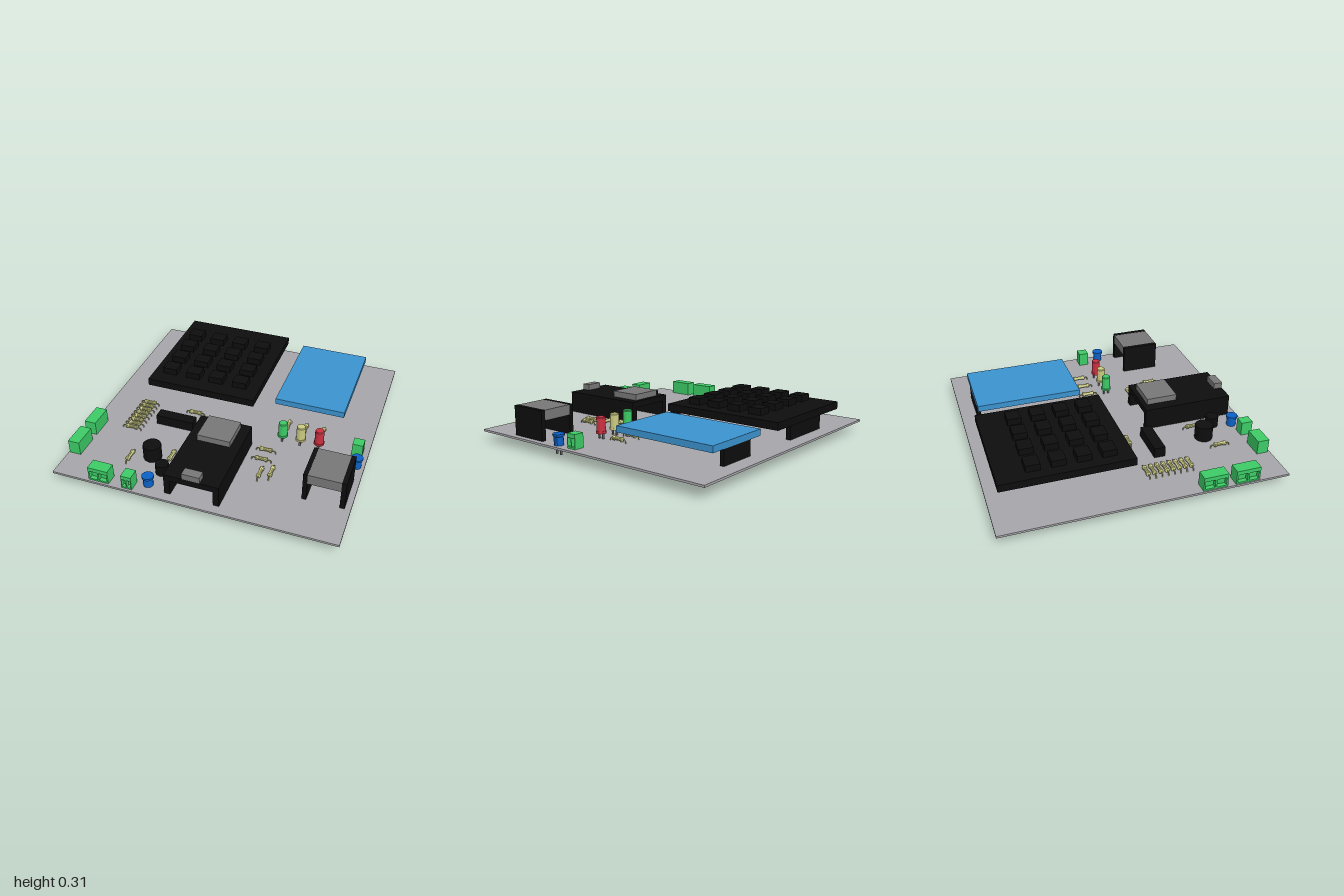
import * as THREE from 'three';

const mat = (name, color) => {
  const m = new THREE.MeshStandardMaterial({ color, flatShading: true });
  m.name = name;
  return m;
};

export function createModel() {
  const M = {
    board: mat('board grey', 0xa6a5aa),
    black: mat('black plastic', 0x0d0d0d),
    metal: mat('metal grey', 0x777777),
    screen: mat('screen blue', 0x3a92ce),
    green: mat('green plastic', 0x3ccb66),
    blue: mat('capacitor blue', 0x0b62c6),
    red: mat('red lens', 0xcc3040),
    sand: mat('pale yellow', 0xcbcb82),
  };
  const model = new THREE.Group();
  model.name = 'circuitBoard';
  const TOP = 0.09;

  const group = (name, x = 0, z = 0, turn = 0) => {
    const g = new THREE.Group();
    g.name = name;
    g.position.set(x, 0, z);
    g.rotation.y = turn;
    model.add(g);
    return g;
  };
  const add = (parent, name, geo, m) => {
    const mesh = new THREE.Mesh(geo, m);
    mesh.name = name;
    parent.add(mesh);
    return mesh;
  };
  // box given by its limits on each axis
  const box = (parent, name, m, x0, x1, y0, y1, z0, z1) => {
    const mesh = add(parent, name, new THREE.BoxGeometry(x1 - x0, y1 - y0, z1 - z0), m);
    mesh.position.set((x0 + x1) / 2, (y0 + y1) / 2, (z0 + z1) / 2);
    return mesh;
  };
  const lathe = (parent, name, m, points, sides = 12) =>
    add(parent, name, new THREE.LatheGeometry(points.map(p => new THREE.Vector2(...p)), sides), m);

  box(model, 'board', M.board, -1, 1, 0.075, TOP, -1, 1);

  // Keypad with four by four keys, raised on a rear header
  const keypad = group('keypad');
  box(keypad, 'keypadPlate', M.black, -0.74, 0.105, 0.21, 0.265, -0.93, 0);
  box(keypad, 'keypadHeader', M.black, -0.55, -0.13, TOP, 0.21, -0.89, -0.855);
  for (const x of [-0.61, -0.42, -0.235, -0.047])
    for (const z of [-0.165, -0.337, -0.51, -0.682])
      box(keypad, 'key', M.black, x - 0.055, x + 0.055, 0.265, 0.313, z - 0.05, z + 0.05);

  // Display
  const display = group('display');
  box(display, 'displayPanel', M.screen, 0.245, 0.765, 0.2, 0.245, -0.885, -0.105);
  box(display, 'displayHeader', M.black, 0.36, 0.65, TOP, 0.2, -0.885, -0.855);

  // Controller module on two side headers
  const controller = group('controller');
  box(controller, 'controllerPlate', M.black, -0.195, 0.19, 0.205, 0.25, 0.27, 0.935);
  box(controller, 'controllerHeader', M.black, -0.195, -0.153, TOP, 0.205, 0.27, 0.935);
  box(controller, 'controllerHeader', M.black, 0.148, 0.19, TOP, 0.205, 0.27, 0.935);
  box(controller, 'shieldCan', M.metal, -0.12, 0.12, 0.25, 0.295, 0.305, 0.535);
  box(controller, 'socket', M.metal, -0.065, 0.06, 0.25, 0.295, 0.87, 0.934);

  // Small module bridging two headers
  const bridge = group('bridgeModule');
  box(bridge, 'bridgeHeader', M.black, 0.672, 0.702, TOP, 0.305, 0.405, 0.685);
  box(bridge, 'bridgeHeader', M.black, 0.925, 0.958, TOP, 0.305, 0.405, 0.685);
  box(bridge, 'bridgeTop', M.metal, 0.702, 0.925, 0.23, 0.304, 0.405, 0.685);

  box(model, 'chip', M.black, -0.55, -0.265, TOP, 0.165, 0.2, 0.28);

  // Screw terminals with two wire openings on the local +z side
  const terminal = (x, z, width, depth, turn) => {
    const g = group('terminal', x, z, turn);
    const y1 = 0.193, recess = 0.03, w = width / 2;
    const face = new THREE.Shape([[-w, TOP], [w, TOP], [w, y1], [-w, y1]].map(p => new THREE.Vector2(...p)));
    for (const s of [-1, 1]) {
      const c = s * w * 0.47, h = w * 0.4;
      face.holes.push(new THREE.Path([[c - h, 0.102], [c - h, 0.163], [c + h, 0.163], [c + h, 0.102]]
        .map(p => new THREE.Vector2(...p))));
    }
    const front = add(g, 'terminalFace',
      new THREE.ExtrudeGeometry(face, { depth: recess, bevelEnabled: false }), M.green);
    front.position.z = depth / 2 - recess;
    box(g, 'terminalBody', M.green, -w, w, TOP, y1, -depth / 2, depth / 2 - recess);
  };
  terminal(-0.95, 0.458, 0.175, 0.084, -Math.PI / 2);
  terminal(-0.95, 0.693, 0.175, 0.084, -Math.PI / 2);
  terminal(-0.655, 0.942, 0.147, 0.084, 0);
  terminal(-0.447, 0.942, 0.074, 0.084, 0);
  terminal(0.923, 0.117, 0.074, 0.076, Math.PI / 2);

  // Two straight pins through the board, spread along x or z
  const pins = (g, gap, y0, y1, alongZ, m = M.metal, r = 0.006) => {
    for (const s of [-gap, gap]) {
      const x = alongZ ? 0 : s, z = alongZ ? s : 0;
      box(g, 'pin', m, x - r, x + r, y0, y1, z - r, z + r);
    }
  };

  // Buzzer and small black capacitor
  const round = (name, x, z, r, top, gap, low) => {
    const g = group(name, x, z);
    lathe(g, name + 'Body', M.black, [[0, TOP], [r, TOP], [r, top], [0, top]]);
    pins(g, gap, low, TOP, false);
  };
  round('buzzer', -0.42, 0.63, 0.065, 0.2, 0.028, 0);
  round('blackCapacitor', -0.29, 0.755, 0.047, 0.17, 0.02, 0.025);

  // Blue capacitors
  for (const [x, z] of [[-0.328, 0.897], [0.943, 0.256]]) {
    const g = group('blueCapacitor', x, z);
    lathe(g, 'blueCapacitorBody', M.blue,
      [[0, TOP], [0.034, TOP], [0.034, 0.15], [0.042, 0.155], [0.042, 0.17], [0, 0.17]]);
    pins(g, 0.02, 0.025, TOP, true);
  }

  // Indicator lights
  [[0.382, M.green], [0.515, M.sand], [0.649, M.red]].forEach(([x, m]) => {
    const g = group('indicatorLight', x, 0.15);
    lathe(g, 'lens', m,
      [[0, 0.13], [0.038, 0.13], [0.038, 0.146], [0.033, 0.146], [0.033, 0.24], [0.028, 0.246], [0, 0.246]]);
    pins(g, 0.018, 0.03, 0.13, true);
  });

  // Resistors: waisted body and bent wire ends
  const resistor = (x, z, turned) => {
    const g = group('resistor', x, z, turned ? Math.PI / 2 : 0);
    const body = lathe(g, 'resistorBody', M.sand, [
      [0, -0.047], [0.017, -0.043], [0.017, -0.028], [0.013, -0.022],
      [0.013, 0.022], [0.017, 0.028], [0.017, 0.043], [0, 0.047]], 10);
    body.rotation.z = Math.PI / 2;
    body.position.y = 0.113;
    for (const s of [-1, 1]) {
      const path = new THREE.CatmullRomCurve3([[0.04, 0.113], [0.062, 0.112], [0.07, 0.102], [0.07, 0.055]]
        .map(([px, py]) => new THREE.Vector3(s * px, py, 0)));
      add(g, 'resistorLead', new THREE.TubeGeometry(path, 8, 0.004, 6), M.sand);
    }
  };
  for (let i = 0; i < 8; i++) resistor(-0.695, 0.083 + i * 0.045, false);
  for (const [x, z] of [[-0.32, 0.085], [0.31, 0.318], [0.31, 0.421]]) resistor(x, z, false);
  for (const [x, z] of [[0.382, 0], [0.51, 0], [0.64, 0], [0.345, 0.555], [0.415, 0.522],
    [-0.563, 0.692], [-0.29, 0.598]]) resistor(x, z, true);

  return model;
}
